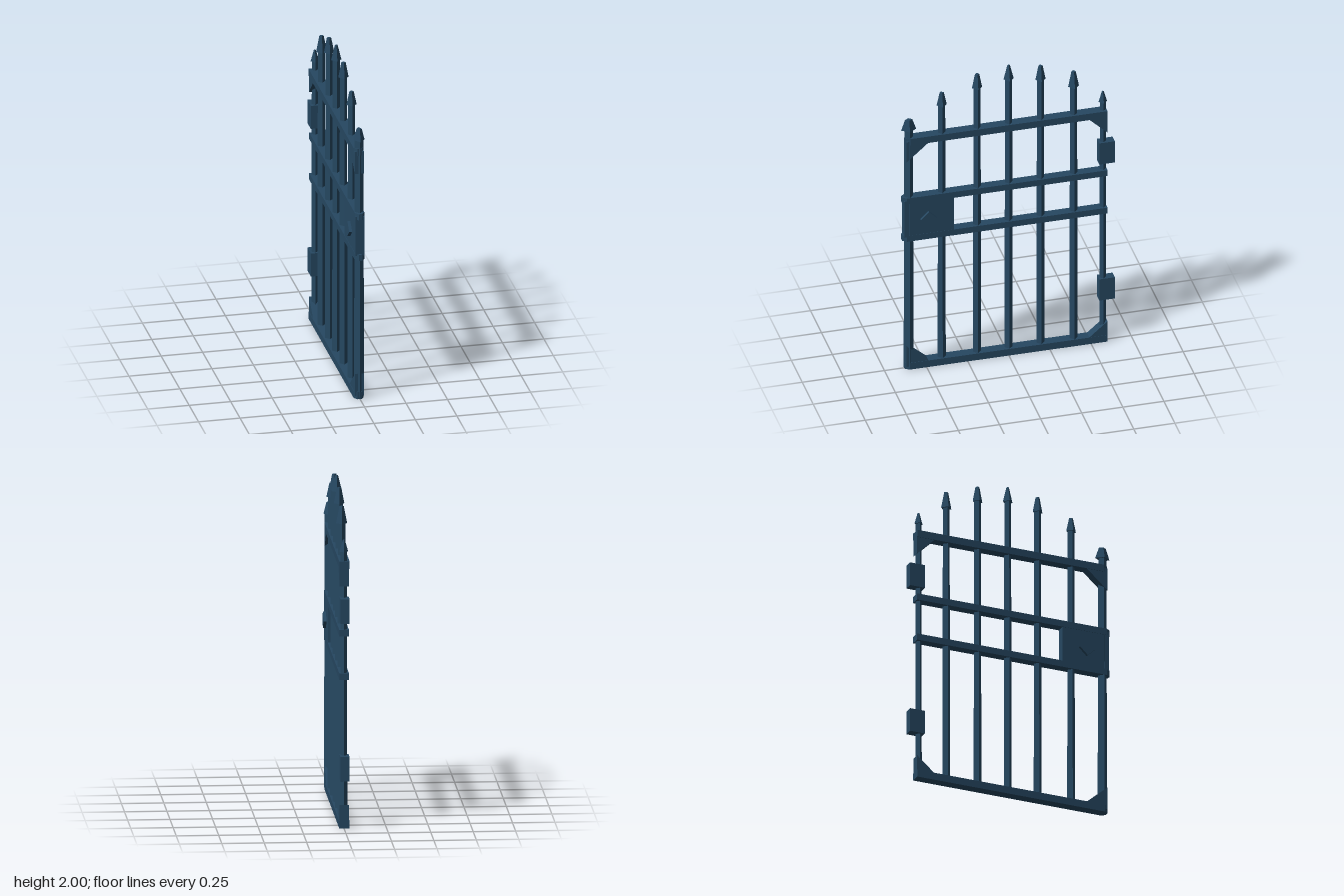
import * as THREE from 'three';

export function createModel() {
  const gate = new THREE.Group();
  gate.name = 'gate';
  const iron = new THREE.MeshStandardMaterial({ color: 0x264862, flatShading: true });
  iron.name = 'blue iron';

  function add(name, geometry, x, y, z) {
    const mesh = new THREE.Mesh(geometry, iron);
    mesh.name = name;
    mesh.position.set(x, y, z);
    gate.add(mesh);
    return mesh;
  }

  // Flat plate from [z, y] corners, centred across x
  function plate(name, corners, thickness, x = 0) {
    const shape = new THREE.Shape(corners.map(([z, y]) => new THREE.Vector2(-z, y)));
    const geometry = new THREE.ExtrudeGeometry(shape, { depth: thickness, bevelEnabled: false });
    geometry.translate(0, 0, -thickness / 2).rotateY(Math.PI / 2);
    return add(name, geometry, x, 0, 0);
  }

  // Horizontal rail with a chamfered latch end
  function rail(name, y0, y1, zEnd, x0, x1) {
    const shape = new THREE.Shape([
      [x0, 0.6], [x1, 0.6], [x1, 0.025 - zEnd], [x1 - 0.018, -zEnd],
      [x0 + 0.018, -zEnd], [x0, 0.025 - zEnd],
    ].map(([x, y]) => new THREE.Vector2(x, y)));
    const geometry = new THREE.ExtrudeGeometry(shape, { depth: y1 - y0, bevelEnabled: false });
    add(name, geometry.rotateX(-Math.PI / 2), 0, y0, 0);
  }

  // Bars with spear heads: z, bar half width, shoulder height, tip height, head half width, tip half width
  const bars = [
    [0.603, 0.029, 1.65, 1.72, 0.046, 0.022],
    [0.402, 0.024, 1.79, 1.875, 0.031, 0.013],
    [0.187, 0.024, 1.875, 1.97, 0.031, 0.013],
    [-0.005, 0.024, 1.905, 2.0, 0.031, 0.008],
    [-0.199, 0.024, 1.87, 1.965, 0.031, 0.013],
    [-0.4, 0.024, 1.79, 1.893, 0.033, 0.013],
    [-0.578, 0.02, 1.655, 1.726, 0.026, 0.006],
  ];
  for (const [z, r, shoulder, tip, headR, tipR] of bars) {
    add('bar', new THREE.CylinderGeometry(r * 0.9, r * 1.05, shoulder - 0.01, 4), 0, (shoulder + 0.01) / 2, z);
    const head = add('spearHead', new THREE.CylinderGeometry(tipR, headR, tip - shoulder, 4), 0, (tip + shoulder) / 2, z);
    head.scale.x = Math.min(1, 0.033 / headR);
  }

  rail('bottomRail', 0, 0.045, 0.63, -0.033, 0.028);
  rail('lowerMiddleRail', 0.89, 0.93, 0.645, -0.029, 0.028);
  rail('upperMiddleRail', 1.15, 1.19, 0.645, -0.029, 0.028);
  rail('topRail', 1.556, 1.6, 0.625, -0.033, 0.028);

  // Corner gussets
  const corners = [
    [0.622, 0.02, 0.045, 0.16], [-0.6, 0.02, 0.045, 0.14],
    [0.622, 1.58, 1.556, 1.44], [-0.6, 1.58, 1.556, 1.45],
  ];
  for (const [z, outerY, innerY, endY] of corners) {
    const innerZ = 0.49 * Math.sign(z);
    const points = [[z, outerY], [innerZ, outerY], [innerZ, innerY], [z, endY]];
    plate('cornerGusset', points, 0.056, -0.002);
  }

  // Lock box with a diamond knob through it
  add('lockBox', new THREE.BoxGeometry(0.054, 0.25, 0.3), 0, 1.045, 0.485);
  plate('lockKnob', [[0.54, 1.036], [0.49, 1.085], [0.44, 1.036], [0.49, 0.988]], 0.09);

  // Hinge blocks
  for (const y of [0.363, 1.308]) {
    add('hinge', new THREE.BoxGeometry(0.054, 0.147, 0.095), -0.003, y, -0.598);
  }
  return gate;
}
